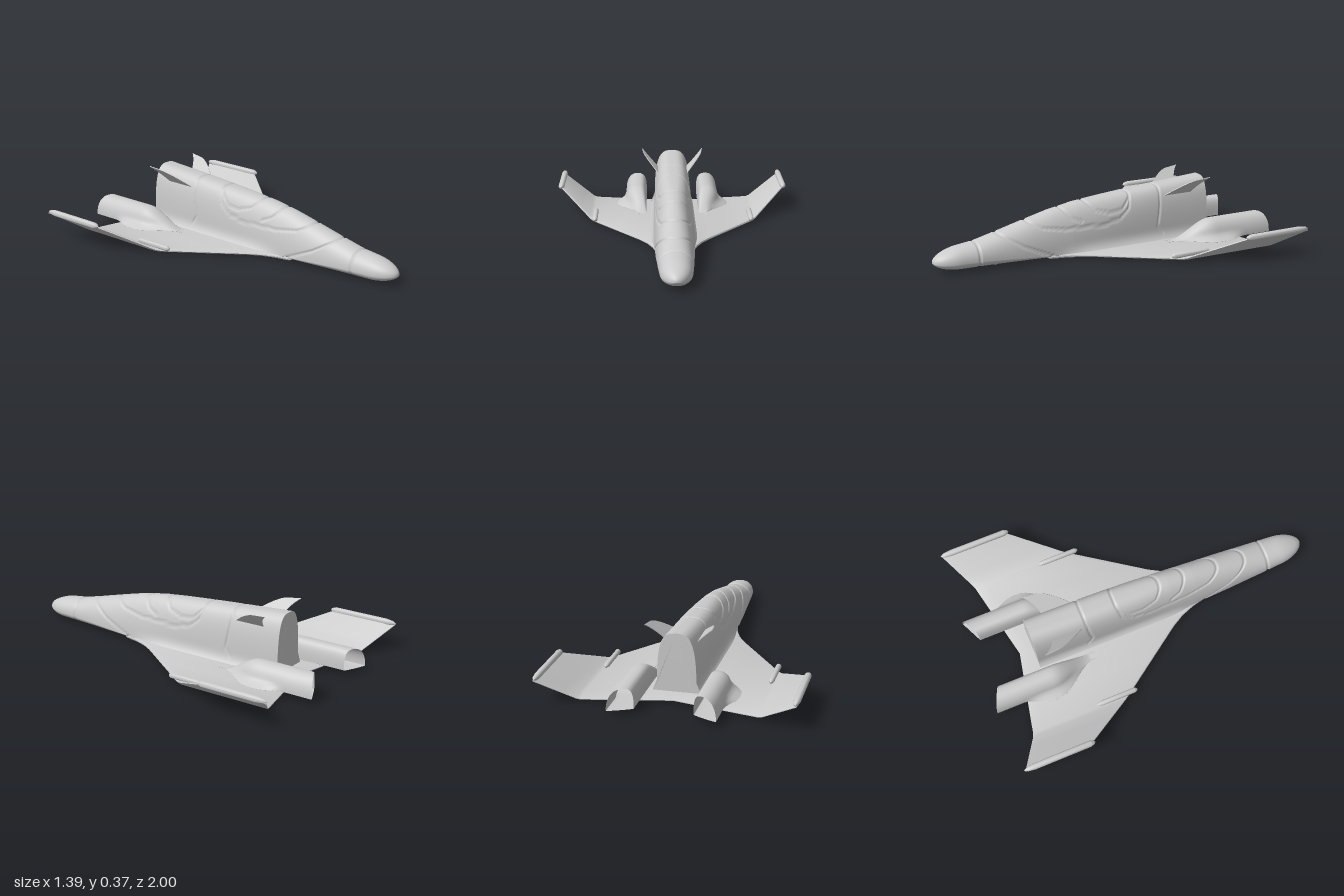
import * as THREE from 'three';
import { toCreasedNormals } from 'three/addons/utils/BufferGeometryUtils.js';

const { lerp, smoothstep } = THREE.MathUtils;
const grey = new THREE.MeshStandardMaterial({ color: 0xcccccc });
const greyThin = new THREE.MeshStandardMaterial({ color: 0xcccccc, side: THREE.DoubleSide });

// Piecewise linear lookup in [key, value] pairs with rising keys.
function table(pairs, k) {
  if (k <= pairs[0][0]) return pairs[0][1];
  for (let i = 1; i < pairs.length; i++) {
    const [k0, v0] = pairs[i - 1], [k1, v1] = pairs[i];
    if (k <= k1) return lerp(v0, v1, (k - k0) / (k1 - k0));
  }
  return pairs[pairs.length - 1][1];
}

// Skin over closed rings of [x, y, z] points.
function loft(rings, capStart = false, capEnd = false) {
  const n = rings[0].length, pos = rings.flat(2), index = [];
  for (let i = 0; i < rings.length - 1; i++) {
    for (let j = 0; j < n; j++) {
      const a = i * n + j, b = i * n + (j + 1) % n;
      index.push(a, b, a + n, b, b + n, a + n);
    }
  }
  const last = (rings.length - 1) * n;
  for (let j = 1; j < n - 1; j++) {
    if (capStart) index.push(0, j + 1, j);
    if (capEnd) index.push(last, last + j, last + j + 1);
  }
  const g = new THREE.BufferGeometry();
  g.setAttribute('position', new THREE.Float32BufferAttribute(pos, 3));
  g.setIndex(index);
  g.computeVertexNormals();
  return g;
}

// Copy on the other side of x = 0, with the winding turned round.
function mirrored(geometry) {
  const g = geometry.clone().scale(-1, 1, 1);
  const idx = g.index ? Array.from(g.index.array) : [...Array(g.attributes.position.count).keys()];
  for (let i = 0; i < idx.length; i += 3) [idx[i], idx[i + 1]] = [idx[i + 1], idx[i]];
  g.setIndex(idx);
  return g;
}

// Unit superellipse point, starting at the top and turning towards +x.
function superPoint(a, n) {
  const s = Math.sin(a), c = Math.cos(a);
  const r = (Math.abs(s) ** n + Math.abs(c) ** n) ** (-1 / n);
  return [s * r, c * r];
}

// Hull height and half width along z.
const TOP = [[-0.68, 0.355], [-0.4, 0.335], [-0.2, 0.32], [0, 0.305], [0.15, 0.291], [0.3, 0.265],
  [0.45, 0.227], [0.6, 0.187], [0.75, 0.148], [0.85, 0.135], [1, 0.115]];
const WIDTH = [[-0.68, 0.107], [0.2, 0.112], [0.5, 0.105], [0.75, 0.093], [0.85, 0.086], [1, 0.078]];

// Panel seams as lines in (z, y): nose, forward hull, canopy, windscreen, rear glass, rear hull.
const SEAMS = [
  [[0.76, 0.2], [0.755, 0]],
  [[0.63, 0.18], [0.5, 0.1], [0.31, 0.015], [0.3, 0]],
  [[0.455, 0.226], [0.38, 0.185], [0.25, 0.165], [0, 0.16], [-0.1, 0.185], [-0.16, 0.235], [-0.185, 0.34]],
  [[0.25, 0.28], [0.2, 0.22], [0.14, 0.195]],
  [[0.1, 0.3], [0.05, 0.245], [-0.04, 0.22], [-0.12, 0.235], [-0.165, 0.285]],
  [[-0.375, 0.36], [-0.36, 0.2], [-0.345, 0.11], [-0.38, 0.06]],
];

function seamDepth(z, y) {
  let d = 1;
  for (const line of SEAMS) {
    for (let i = 1; i < line.length; i++) {
      const [az, ay] = line[i - 1], [bz, by] = line[i];
      const dz = bz - az, dy = by - ay;
      const t = Math.min(1, Math.max(0, ((z - az) * dz + (y - ay) * dy) / (dz * dz + dy * dy)));
      d = Math.min(d, Math.hypot(z - az - t * dz, y - ay - t * dy));
    }
  }
  return 0.006 * (1 - smoothstep(d, 0.002, 0.009));
}

function hullRing(z) {
  const round = z > 0.85 ? Math.sqrt(Math.max(1e-6, 1 - ((z - 0.85) / 0.15) ** 2)) : 1;
  const top = lerp(0.06, table(TOP, z), round), low = lerp(0.06, 0.01, round);
  const w = table(WIDTH, z) * round;
  const base = lerp(0.02, 0.055, smoothstep(z, 0.1, 0.85));
  const n = lerp(3.2, 2.15, smoothstep(z, -0.35, 0.3));
  const flare = 0.055 * (1 - smoothstep(z, 0.05, 0.35));
  const ring = [];
  for (let j = 0; j < 144; j++) {
    const [u, v] = superPoint((j / 144) * Math.PI * 2, n);
    let y = base + v * (v > 0 ? top - base : base - low);
    let x = w * u + Math.sign(u) * flare * Math.max(0, (0.1 - y) / 0.1) ** 3 * Math.min(1, Math.abs(u) * 1.2);
    const mid = (top + low) / 2, r = Math.hypot(x, y - mid) || 1;
    const k = 1 - Math.min(0.5, seamDepth(z, y) / r);
    x *= k;
    y = mid + (y - mid) * k;
    ring.push([x, y, z]);
  }
  return ring;
}

// Wing planform by distance from the centre line.
const LEAD = [[0, 0.36], [0.1, 0.36], [0.12, 0.27], [0.15, 0.19], [0.19, 0.12], [0.48, -0.29], [0.685, -0.59]];
const TRAIL = [[0, -0.76], [0.48, -0.86], [0.685, -0.975]];

function wingRing(x) {
  const ax = Math.abs(x), f = table(LEAD, ax), b = table(TRAIL, ax);
  const y = 0.01 + table([[0.47, 0], [0.49, 0.006], [0.685, 0.13]], ax);
  const t = 0.018;
  return [[x, y + 0.004, b], [x, y + t, b + 0.06], [x, y + t, f - 0.03], [x, y + t * 0.75, f - 0.005],
    [x, y + t * 0.4, f], [x, y, f - 0.015], [x, y, b]];
}

function nacelleRing(z, slant = 0) {
  const grow = smoothstep(z, -0.64, -0.38);
  const top = lerp(0.142, 0.026, grow), out = lerp(0.287, 0.2, grow);
  const inner = 0.157, mid = lerp(0.21, 0.175, grow), base = 0.03;
  const flare = 0.05 * smoothstep(z, -0.84, -0.68) * (1 - grow);
  const ring = [];
  for (let j = 0; j < 48; j++) {
    const a = (j / 48) * Math.PI * 2;
    const [u, v] = superPoint(a, Math.sin(a) > 0 ? 2.2 : 3.2);
    const y = base + (v > 0 ? v * (top - base) : v * 0.004);
    const x = mid + u * (u > 0 ? out - mid : mid - inner)
      + (u > 0 ? flare * Math.max(0, (0.07 - y) / 0.04) ** 2 * u : 0);
    ring.push([x, y, z - slant * (x - inner) / 0.13]);
  }
  return ring;
}

// Slim rod along z with pointed ends.
function rod(radius, front, back, x, y) {
  const len = front - back;
  const profile = [[0, 0], [0.55, 0.02], [1, 0.07], [1, 0.85], [0.7, 0.95], [0, 1]]
    .map(([r, t]) => new THREE.Vector2(r * radius, (t - 1) * len));
  return toCreasedNormals(new THREE.LatheGeometry(profile.reverse().map(p => new THREE.Vector2(p.x, -len - p.y)), 16), 0.7)
    .rotateX(Math.PI / 2).translate(x, y, front);
}

export function createModel() {
  const model = new THREE.Group();
  const add = (name, geometry, material = grey) => {
    const mesh = new THREE.Mesh(geometry, material);
    mesh.name = name;
    model.add(mesh);
  };
  const addPair = (name, geometry, material) => {
    add(name + 'Left', geometry, material);
    add(name + 'Right', mirrored(geometry), material);
  };

  // Fuselage with recessed panel seams, and its flat rear bulkhead
  const hull = [];
  for (let i = 0; i < 20; i++) hull.push(hullRing(0.85 + 0.15 * Math.cos((i / 20) * Math.PI / 2)));
  for (let i = 0; i <= 240; i++) hull.push(hullRing(0.85 - (1.53 * i) / 240));
  add('fuselage', loft(hull));
  const rear = hull[hull.length - 1];
  add('rearBulkhead', loft([rear, rear.map(([x, y, z]) => [x * 0.98, y, z - 0.001])], false, true), greyThin);

  // One-piece delta wing with upturned tips
  const spans = [0, 0.1, 0.12, 0.15, 0.19, 0.3, 0.47, 0.49, 0.55, 0.685];
  const stations = [...spans.slice(1).reverse().map(x => -x), ...spans];
  add('wing', toCreasedNormals(loft(stations.map(wingRing), true, true), 0.5), greyThin);

  // Engine nacelles, open at the slanted rear end
  const nacelle = [];
  for (let z = -0.36; z > -0.87; z -= 0.02) nacelle.push(nacelleRing(z));
  nacelle.push(nacelleRing(-0.94, 0.06));
  addPair('engineNacelle', loft(nacelle), greyThin);

  // Wing tip rods and small wing pods
  addPair('wingTipRod', rod(0.018, -0.56, -0.98, 0.678, 0.15), greyThin);
  addPair('wingPod', rod(0.015, -0.22, -0.47, 0.46, 0.038), greyThin);

  // Canted tail fins: flat outline in (-z, span), leaning outwards
  const outline = new THREE.Shape();
  outline.moveTo(0.4, -0.02);
  outline.quadraticCurveTo(0.5, 0.09, 0.56, 0.105);
  outline.lineTo(0.645, 0.118);
  outline.quadraticCurveTo(0.59, 0.06, 0.575, -0.02);
  const fin = new THREE.ExtrudeGeometry(outline, { depth: 0.004, bevelEnabled: false, curveSegments: 10 })
    .rotateY(Math.PI / 2).rotateZ(-0.78).translate(0.098, 0.292, 0);
  addPair('tailFin', fin, greyThin);

  // Round hatch rim under the nose
  add('hatchRim', new THREE.TorusGeometry(0.022, 0.005, 8, 24).rotateX(Math.PI / 2).translate(0, 0.006, 0.64));

  return model;
}
